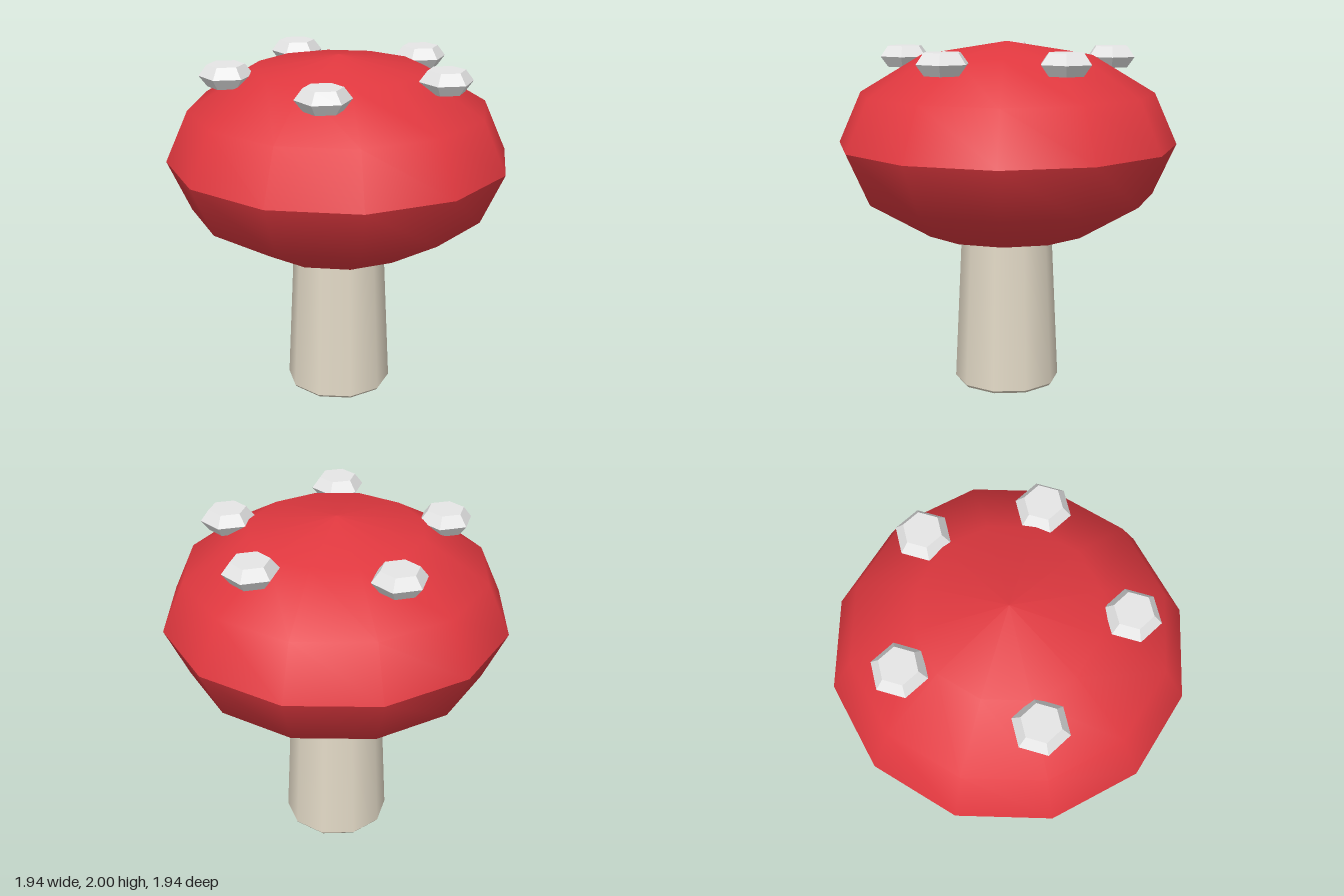
import * as THREE from 'three';

// Faceted ring shape from an outline of [radius, height] points, listed bottom to top.
function turned(name, outline, sides, material) {
  const points = outline.map(([r, y]) => new THREE.Vector2(r, y));
  const mesh = new THREE.Mesh(new THREE.LatheGeometry(points, sides), material);
  mesh.name = name;
  return mesh;
}

export function createModel() {
  const red = new THREE.MeshStandardMaterial({ color: 0xe0383f });
  red.name = 'cap red';
  const cream = new THREE.MeshStandardMaterial({ color: 0xe2d9c6 });
  cream.name = 'stem cream';
  const white = new THREE.MeshStandardMaterial({ color: 0xe6e6e6 });
  white.name = 'spot white';

  const model = new THREE.Group();
  model.name = 'mushroom';

  // Cap: two smooth halves meeting at a sharp rim
  const cap = new THREE.Group();
  cap.name = 'cap';
  const rim = 1.42, radius = 0.97, height = 0.58;
  const quarter = [0, 1, 2, 3].map((i) => {
    const a = (i * Math.PI) / 6;
    return [radius * Math.cos(a), height * Math.sin(a)];
  });
  quarter[3][0] = 0;
  cap.add(turned('capTop', quarter.map(([r, y]) => [r, rim + y]), 12, red));
  cap.add(turned('capUnderside', quarter.map(([r, y]) => [r, rim - y]).reverse(), 12, red));
  model.add(cap);

  // Stem: tapered ten-sided column with a small bevel at the foot
  const stem = new THREE.Group();
  stem.name = 'stem';
  stem.add(turned('stemSide', [[0.305, 0.02], [0.26, 0.95]], 10, cream));
  stem.add(turned('stemBevel', [[0.292, 0.004], [0.305, 0.02]], 10, cream));
  stem.add(turned('stemFoot', [[0, 0], [0.292, 0.004]], 10, cream));
  model.add(stem);

  // Spots: flat-faced hexagonal studs in a ring around the crown
  const spotOutline = [[0, -0.06], [0.104, -0.06], [0.15, 0], [0.104, 0.06], [0, 0.06]];
  const spots = [[0.62, 0], [0.165, 0.6], [-0.53, 0.32], [-0.45, -0.43], [0.29, -0.55]];
  spots.forEach(([x, z], i) => {
    const spot = turned(`spot${i + 1}`, spotOutline, 6, white);
    spot.geometry = spot.geometry.toNonIndexed();
    spot.geometry.computeVertexNormals();
    spot.position.set(x, 1.905, z);
    model.add(spot);
  });

  return model;
}
